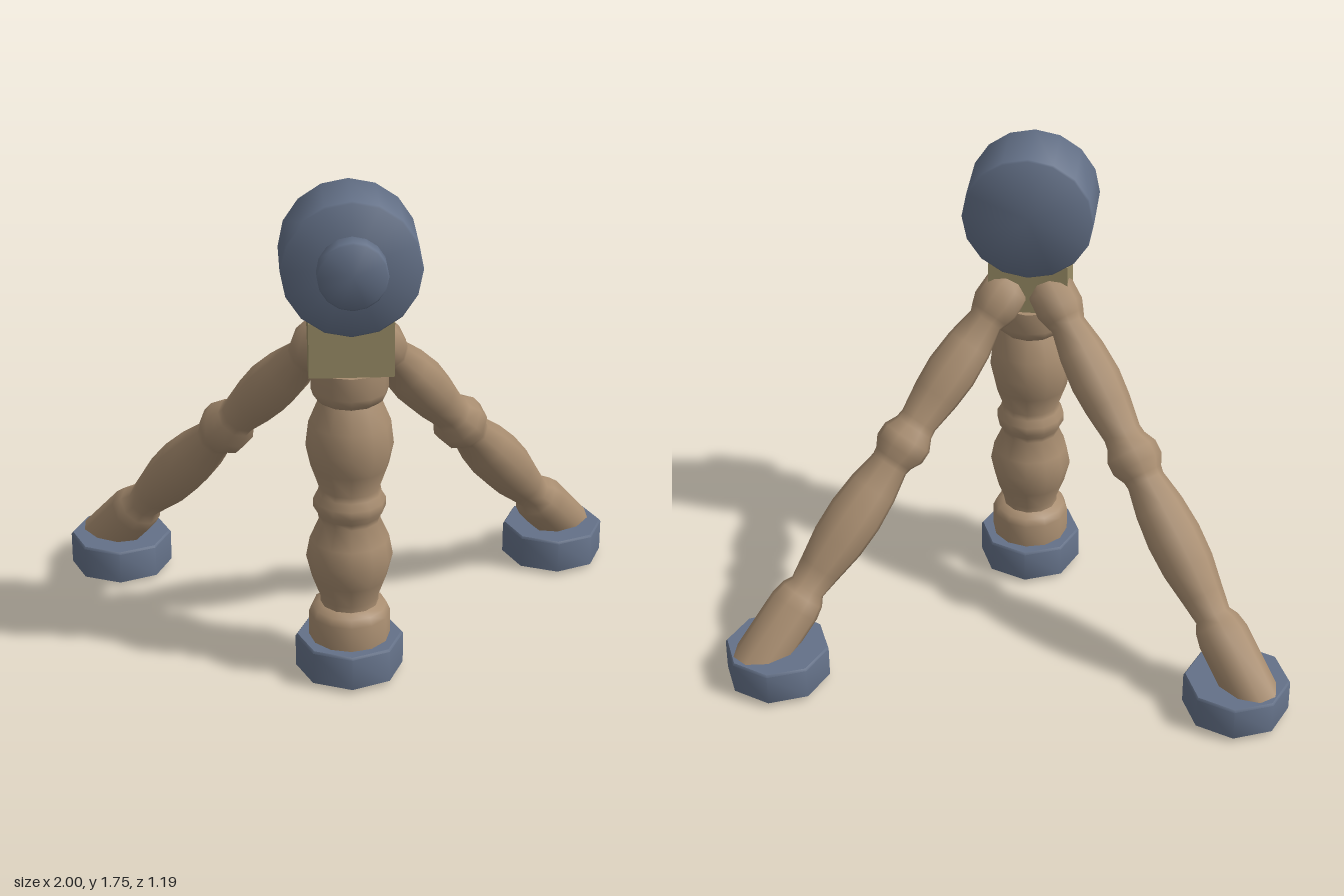
import * as THREE from 'three';
import { toCreasedNormals } from 'three/addons/utils/BufferGeometryUtils.js';

const wood = new THREE.MeshStandardMaterial({ color: 0xa88d70 });
const steel = new THREE.MeshStandardMaterial({ color: 0x647188 });
const steelShell = new THREE.MeshStandardMaterial({ color: 0x647188, side: THREE.DoubleSide });
const brass = new THREE.MeshStandardMaterial({ color: 0x9c8f68 });

// Turned part from [radius, height] pairs listed bottom to top
function turned(name, profile, sides, material) {
  const points = profile.map(([r, y]) => new THREE.Vector2(r, y));
  const geometry = toCreasedNormals(new THREE.LatheGeometry(points, sides), 0.95);
  const mesh = new THREE.Mesh(geometry, material);
  mesh.name = name;
  return mesh;
}

// Hollow octagonal cup, open underneath
function foot(name, x, z) {
  const mesh = turned(name, [[0.186, 0.025], [0.186, 0.139], [0.18, 0.147], [0, 0.147]], 8, steelShell);
  mesh.position.set(x, 0, z);
  return mesh;
}

// Drum facing +z with slightly eased rims
function drum(name, radius, back, front) {
  const e = 0.006;
  const mesh = turned(name, [
    [0, back], [radius - e, back], [radius, back + e],
    [radius, front - e], [radius - e, front], [0, front],
  ], 16, steel);
  mesh.rotation.x = Math.PI / 2;
  mesh.position.y = 1.525;
  return mesh;
}

export function createModel() {
  const model = new THREE.Group();
  model.name = 'tripodStand';

  // Upright front leg
  const frontLeg = turned('frontLeg', [
    [0, 0.13], [0.14, 0.13], [0.14, 0.235], [0.128, 0.262], [0.1, 0.275], [0.1, 0.295],
    [0.128, 0.37], [0.148, 0.45], [0.135, 0.52], [0.104, 0.59],
    [0.108, 0.61], [0.123, 0.635], [0.123, 0.665], [0.108, 0.69], [0.104, 0.71],
    [0.132, 0.79], [0.148, 0.865], [0.138, 0.95], [0.105, 1.03],
    [0.122, 1.045], [0.13, 1.07], [0.13, 1.15], [0, 1.15],
  ], 12, wood);
  frontLeg.position.z = 0.405;
  model.add(frontLeg, foot('frontFoot', 0, 0.405));

  // Splayed rear legs, mirrored; heights are fractions from foot to hub
  const legProfile = [
    [0, 0], [0.094, 0], [0.094, 0.17], [0.084, 0.2], [0.066, 0.22],
    [0.078, 0.27], [0.096, 0.34], [0.1, 0.41], [0.09, 0.48], [0.07, 0.545],
    [0.074, 0.56], [0.096, 0.585], [0.096, 0.615], [0.074, 0.642], [0.07, 0.66],
    [0.086, 0.73], [0.093, 0.79], [0.084, 0.86], [0.064, 0.925],
    [0.074, 0.94], [0.088, 0.965], [0.086, 1.01], [0.06, 1.035], [0, 1.035],
  ];
  for (const [side, label] of [[1, 'left'], [-1, 'right']]) {
    const bottom = new THREE.Vector3(side * 0.895, 0.075, -0.48);
    const axis = new THREE.Vector3(side * 0.085, 1.21, 0.33).sub(bottom);
    const length = axis.length();
    const leg = turned(label + 'RearLeg', legProfile.map(([r, t]) => [r, t * length]), 9, wood);
    leg.position.copy(bottom);
    leg.quaternion.setFromUnitVectors(new THREE.Vector3(0, 1, 0), axis.normalize());
    model.add(leg, foot(label + 'RearFoot', side * 0.815, -0.41));
  }

  // Block joining the legs and carrying the head
  const hub = new THREE.Mesh(new THREE.BoxGeometry(0.28, 0.19, 0.22), brass);
  hub.name = 'hubBlock';
  hub.position.set(0, 1.245, 0.407);
  model.add(hub);

  // Round head and its front button
  model.add(drum('head', 0.23, 0.285, 0.53), drum('frontButton', 0.115, 0.52, 0.594));
  return model;
}
